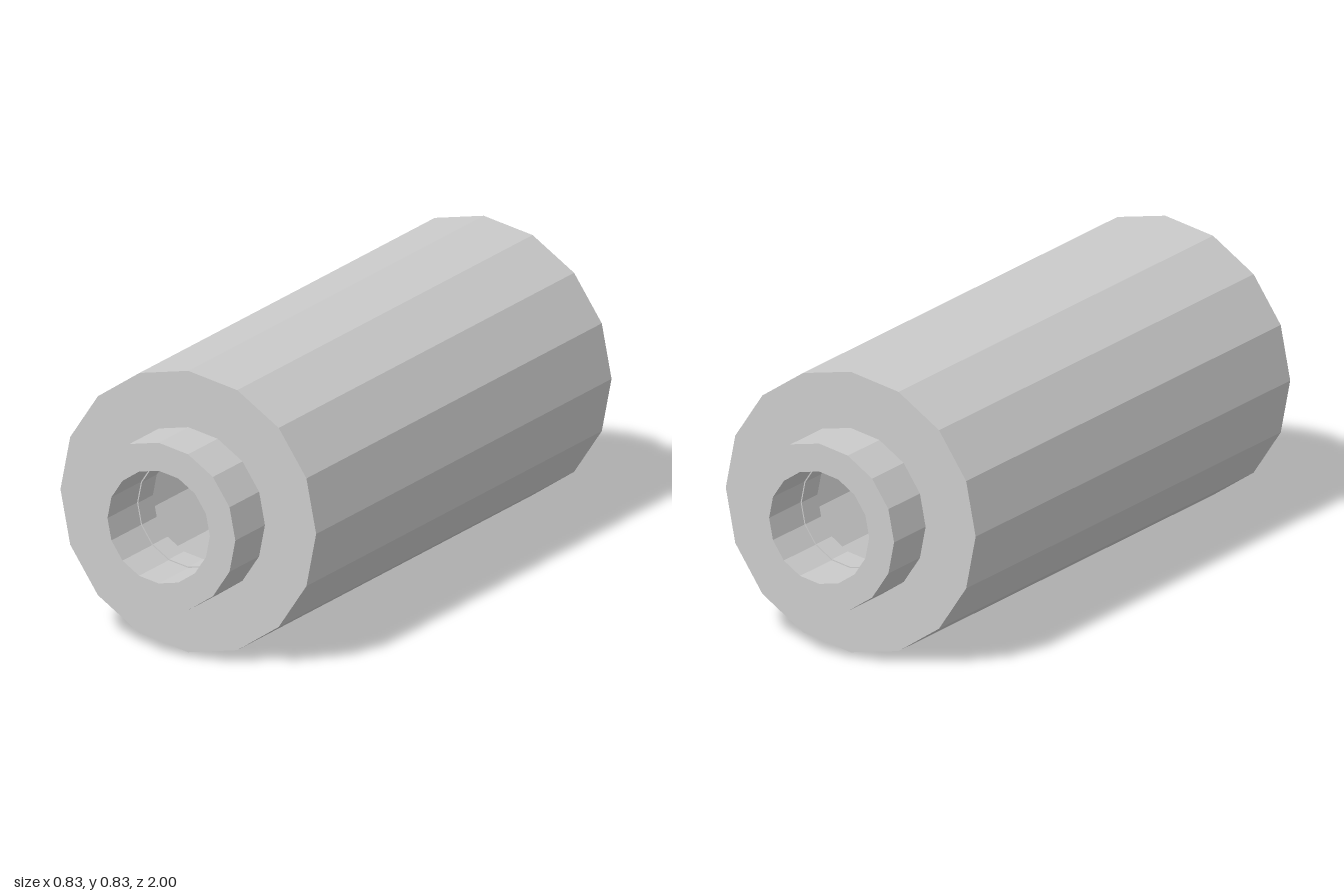
import * as THREE from 'three';

const SIDES = 16;
const OUTER = 0.417, COLLAR = 0.25, BORE = 0.167, PORT = 0.1635, CAVITY = 0.333;
const END = 0.833, TIP = 1, WALL = 0.083;

// Revolves a (radius, z) profile around the z axis
function revolve(name, profile, material) {
  const points = profile.map(([r, z]) => new THREE.Vector2(r, z));
  const geometry = new THREE.LatheGeometry(points, SIDES);
  geometry.rotateX(Math.PI / 2);
  const mesh = new THREE.Mesh(geometry, material);
  mesh.name = name;
  mesh.position.y = OUTER;
  return mesh;
}

export function createModel() {
  const material = new THREE.MeshStandardMaterial({ color: 0xcccccc, flatShading: true });
  const model = new THREE.Group();
  model.name = 'hollowCylinder';

  // Outer drum with a round port in each end wall
  model.add(revolve('drumShell', [
    [PORT, -END], [OUTER, -END], [OUTER, END], [PORT, END], [PORT, END - WALL],
  ], material));
  model.add(revolve('rearPort', [[PORT, WALL - END], [PORT, -END]], material));

  // Inner cavity lining
  model.add(revolve('drumCavity', [
    [PORT, END - WALL], [CAVITY, END - WALL], [CAVITY, WALL - END], [PORT, WALL - END],
  ], material));

  // Short tubular collar at each end
  const collar = [[COLLAR, END], [COLLAR, TIP], [BORE, TIP], [BORE, END]];
  model.add(revolve('frontCollar', collar, material));
  const rear = revolve('rearCollar', collar, material);
  rear.rotation.y = Math.PI;
  model.add(rear);

  return model;
}
